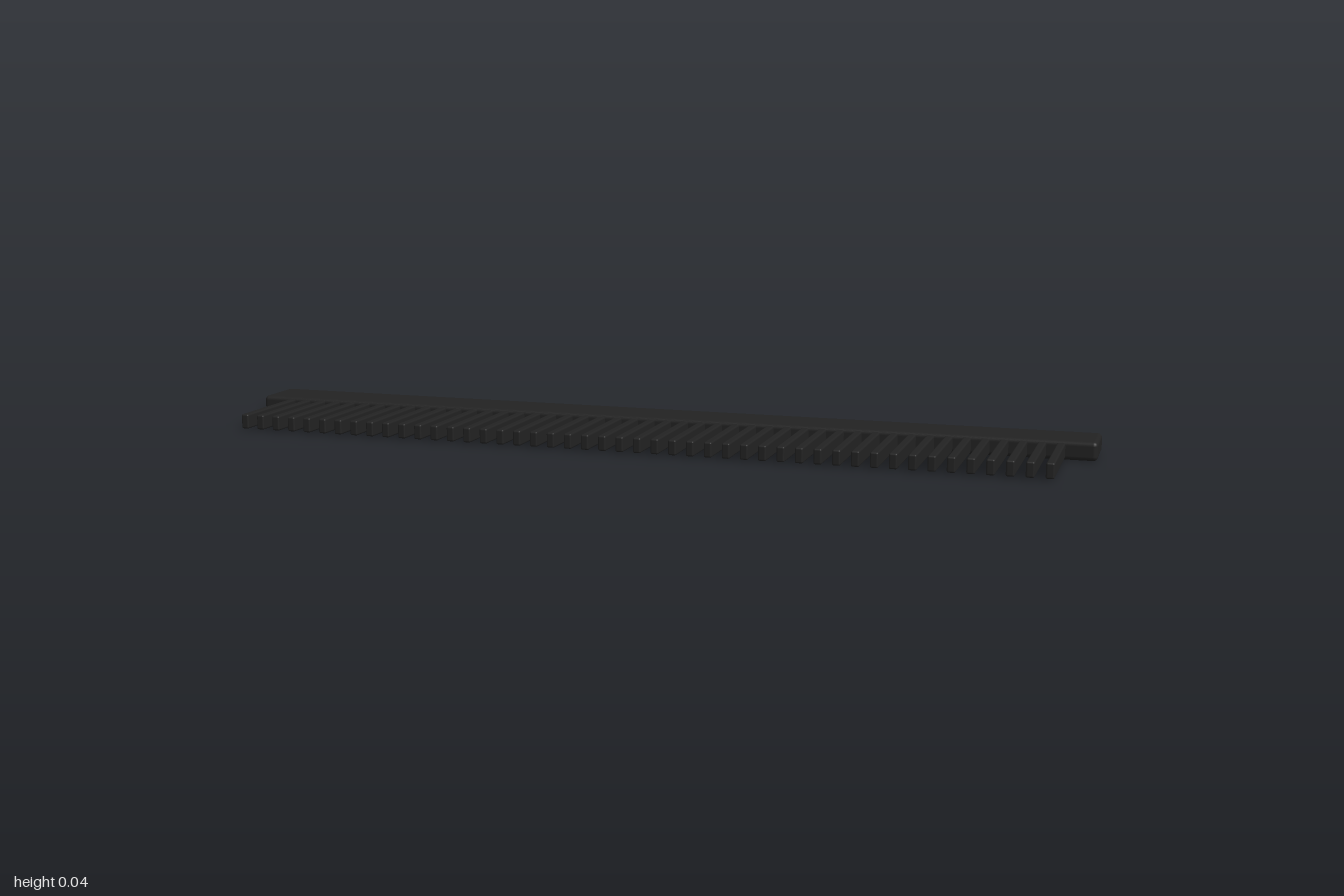
import * as THREE from 'three';
import { RoundedBoxGeometry } from 'three/addons/geometries/RoundedBoxGeometry.js';

export function createModel() {
  const comb = new THREE.Group();
  comb.name = 'comb';
  const black = new THREE.MeshStandardMaterial({ color: 0x222222 });
  black.name = 'black plastic';

  // Spine: long bar with softly rounded edges
  const spine = new THREE.Mesh(new RoundedBoxGeometry(2.0, 0.042, 0.126, 3, 0.01), black);
  spine.name = 'spine';
  spine.position.y = 0.0215;
  comb.add(spine);

  // Teeth: evenly spaced bars, rooted inside the spine
  const teeth = new THREE.Group();
  teeth.name = 'teeth';
  const count = 47, span = 1.846, root = 0.04, tip = 0.288;
  const toothGeometry = new RoundedBoxGeometry(0.018, 0.034, tip - root, 2, 0.004);
  for (let i = 0; i < count; i++) {
    const tooth = new THREE.Mesh(toothGeometry, black);
    tooth.name = 'tooth';
    tooth.position.set(-span / 2 + (span * i) / (count - 1), 0.0205, (root + tip) / 2);
    teeth.add(tooth);
  }
  comb.add(teeth);

  // The comb lies turned slightly on the ground
  comb.rotation.y = -0.1206;
  comb.position.z = -0.106;

  const model = new THREE.Group();
  model.name = 'model';
  model.add(comb);
  return model;
}
